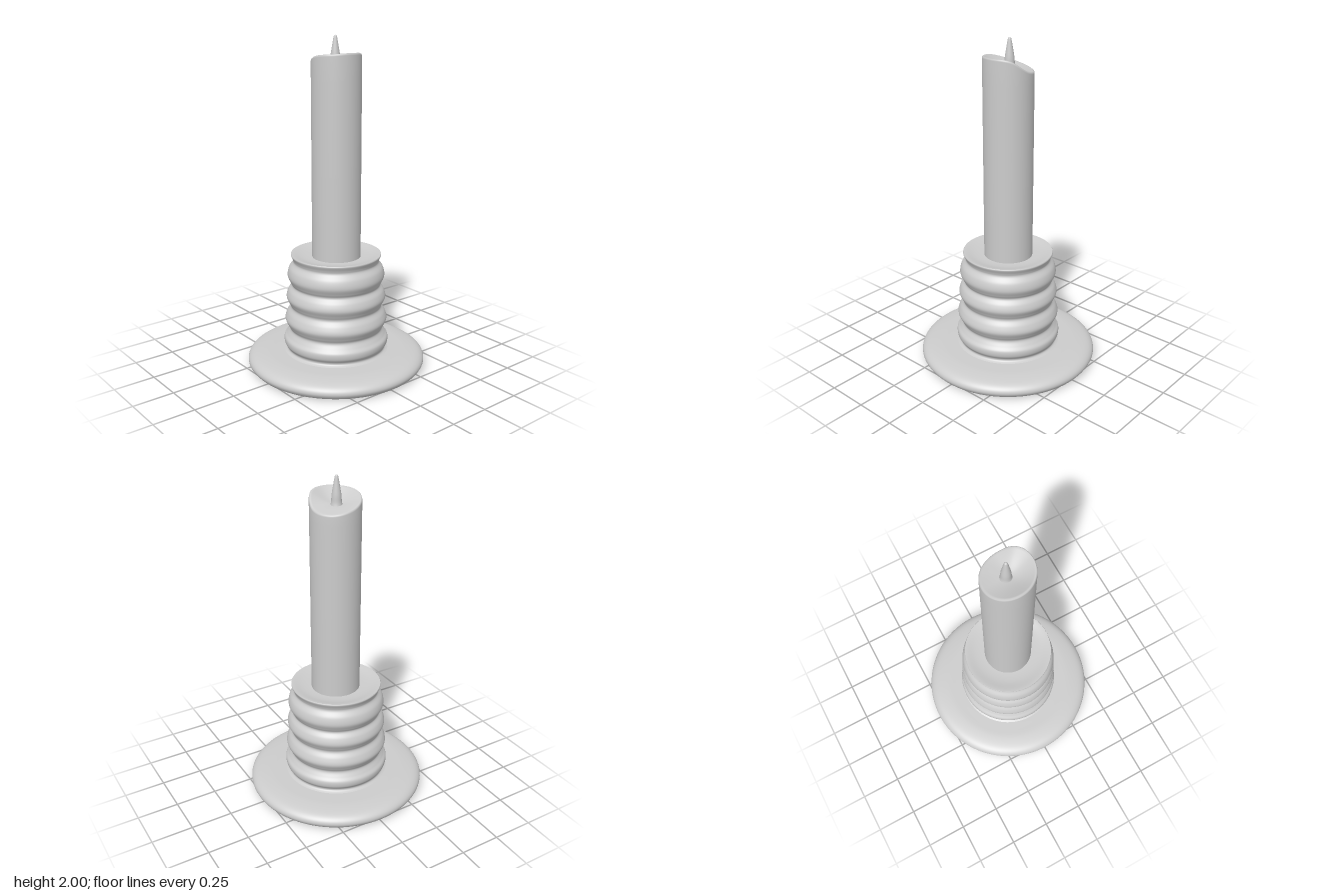
import * as THREE from 'three';
import { mergeVertices } from 'three/addons/utils/BufferGeometryUtils.js';

const material = new THREE.MeshStandardMaterial({ color: 0xcccccc });
const SEGMENTS = 96;

// Smooth curve through [radius, height] pairs
const smooth = (pairs, n) =>
  new THREE.SplineCurve(pairs.map(([r, y]) => new THREE.Vector2(r, y))).getPoints(n);

function addMesh(group, name, geometry) {
  const mesh = new THREE.Mesh(geometry, material);
  mesh.name = name;
  group.add(mesh);
  return mesh;
}

// Flat-bottomed dish with a rounded lip
function baseGeometry() {
  const lip = smooth([
    [0.505, 0.005], [0.53, 0.018], [0.545, 0.043], [0.535, 0.068],
    [0.5, 0.087], [0.43, 0.098], [0.36, 0.1], [0.28, 0.101],
  ], 48);
  return new THREE.LatheGeometry([new THREE.Vector2(0, 0.005), new THREE.Vector2(0.505, 0.005), ...lip], SEGMENTS);
}

// Tapering ribbed socket, closed by a shallow hollow around the candle
function socketGeometry() {
  const ribs = smooth([
    [0.325, 0.099], [0.306, 0.108], [0.303, 0.122], [0.318, 0.147], [0.319, 0.18],
    [0.301, 0.205], [0.284, 0.235], [0.296, 0.262], [0.312, 0.3], [0.3, 0.34],
    [0.278, 0.375], [0.287, 0.402], [0.303, 0.44], [0.292, 0.48],
    [0.27, 0.512], [0.28, 0.537], [0.295, 0.575], [0.286, 0.62],
    [0.262, 0.655], [0.263, 0.675], [0.274, 0.7], [0.272, 0.709],
  ], 140);
  const hollow = smooth([[0.272, 0.709], [0.255, 0.706], [0.21, 0.695], [0.16, 0.69], [0.1, 0.69]], 16);
  return new THREE.LatheGeometry([...ribs, ...hollow], SEGMENTS);
}

// Candle whose rim height varies around it, sagging on one side
function candleGeometry() {
  // Rim heights every 45 degrees, starting at +z and turning towards +x
  const rim = [1.89, 1.9, 1.905, 1.895, 1.83, 1.815, 1.83, 1.86];
  const rimCurve = new THREE.CatmullRomCurve3(rim.map((y, i) => new THREE.Vector3(i, y, 0)), true, 'catmullrom', 0.5);
  const rimHeight = (angle) => rimCurve.getPoint((angle / (2 * Math.PI) + 1) % 1).y;

  const R = 0.147, middle = 1.835;
  const profile = [[R, 0.67], [R, 1.2], [R, 1.75]].map(([r, y]) => new THREE.Vector2(r, y));
  const wallRows = profile.length;
  const edge = [[R, -0.012], [R - 0.002, -0.004], [R - 0.007, 0]];
  edge.forEach(([r, d]) => profile.push(new THREE.Vector2(r, d)));
  const poolRows = 14;
  for (let i = 1; i <= poolRows; i++) profile.push(new THREE.Vector2((R - 0.007) * (1 - i / poolRows), 0));

  const geometry = new THREE.LatheGeometry(profile, SEGMENTS);
  const pos = geometry.attributes.position;
  for (let i = 0; i < pos.count; i++) {
    const row = i % profile.length;
    if (row < wallRows) continue;
    const h = rimHeight(2 * Math.PI * Math.floor(i / profile.length) / SEGMENTS);
    const t = Math.min(1, profile[row].x / (R - 0.007));
    // Melted pool blends from the middle up to the rim
    pos.setY(i, middle + (h - middle) * t * t * (1.5 - 0.5 * t) + profile[row].y);
  }
  geometry.deleteAttribute('uv');
  geometry.deleteAttribute('normal');
  const merged = mergeVertices(geometry, 1e-5);
  merged.computeVertexNormals();
  return merged;
}

// Pointed wick with a rounded tip
function wickGeometry() {
  return new THREE.LatheGeometry(smooth([
    [0.036, 1.825], [0.03, 1.85], [0.027, 1.89], [0.019, 1.94], [0.011, 1.985], [0.007, 1.997], [0, 2],
  ], 28), 24);
}

export function createModel() {
  const group = new THREE.Group();
  group.name = 'candleHolder';
  addMesh(group, 'base', baseGeometry());
  addMesh(group, 'ribbedSocket', socketGeometry());
  addMesh(group, 'candle', candleGeometry()).position.z = -0.003;
  addMesh(group, 'wick', wickGeometry()).position.set(-0.01, 0, -0.003);
  group.children.slice(0, 1).forEach((m) => { m.position.y = -0.005; m.scale.y = 1.05; });
  return group;
}
